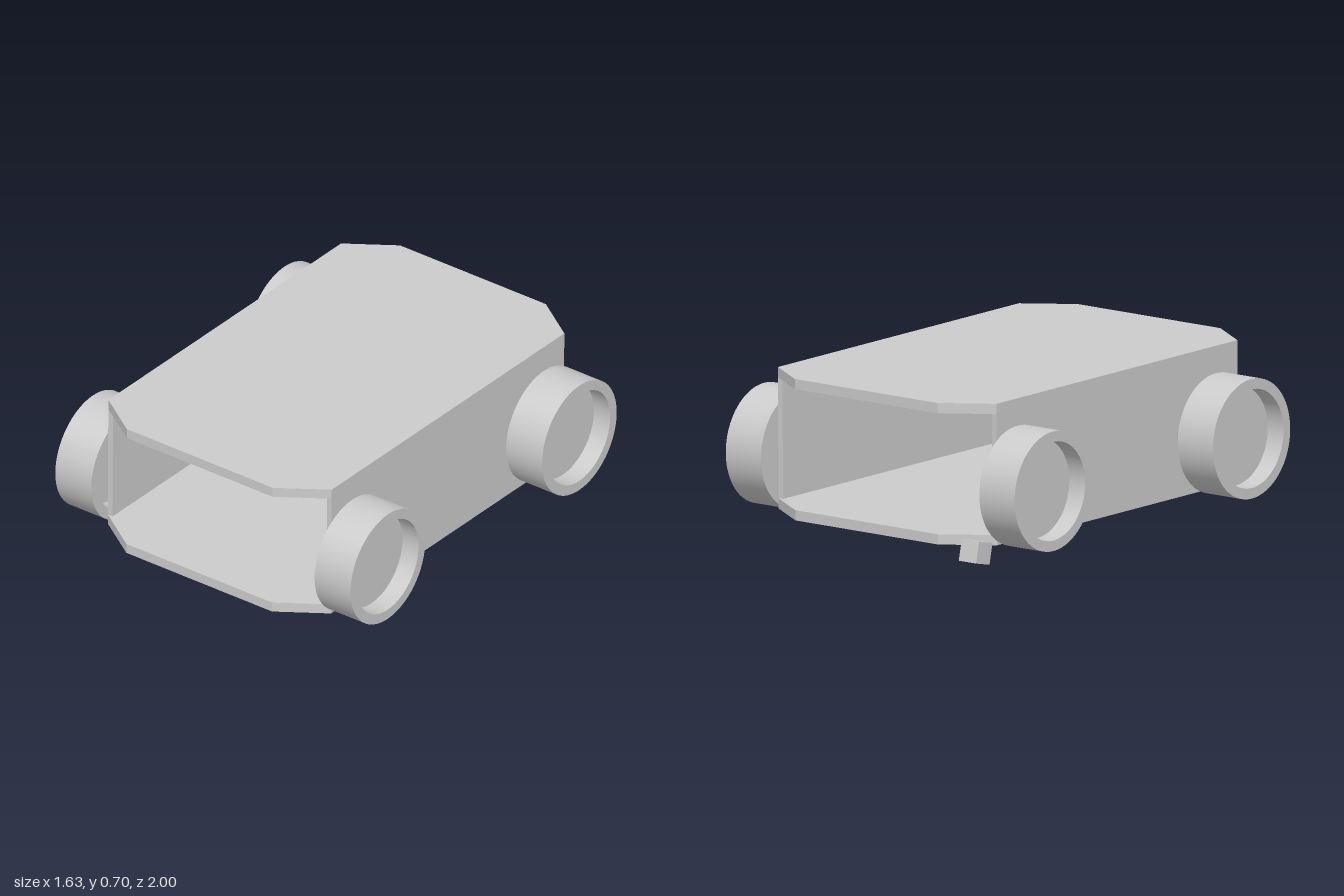
import * as THREE from 'three';
import { toCreasedNormals } from 'three/addons/utils/BufferGeometryUtils.js';

const material = new THREE.MeshStandardMaterial({ color: 0xcccccc });

function addMesh(parent, name, geometry, x, y, z) {
  const mesh = new THREE.Mesh(geometry, material);
  mesh.name = name;
  mesh.position.set(x, y, z);
  parent.add(mesh);
  return mesh;
}

// Flat octagonal plate with clipped corners, centred on its thickness
function plateGeometry(thickness) {
  const w = 0.605, wEnd = 0.395, l = 0.963, lSide = 0.82;
  const shape = new THREE.Shape([
    [w, -lSide], [w, lSide], [wEnd, l], [-wEnd, l],
    [-w, lSide], [-w, -lSide], [-wEnd, -l], [wEnd, -l],
  ].map(([x, y]) => new THREE.Vector2(x, y)));
  return new THREE.ExtrudeGeometry(shape, { depth: thickness, bevelEnabled: false })
    .translate(0, 0, -thickness / 2)
    .rotateX(-Math.PI / 2);
}

// Thick ring with a recessed web in the middle, axle along x
function wheelGeometry() {
  const outer = 0.263, inner = 0.217, half = 0.0975, web = 0.01;
  const profile = [
    [0, -web], [inner, -web], [inner, -half], [outer, -half],
    [outer, half], [inner, half], [inner, web], [0, web],
  ].map(([r, y]) => new THREE.Vector2(r, y));
  return toCreasedNormals(new THREE.LatheGeometry(profile, 64), 0.6)
    .rotateZ(-Math.PI / 2);
}

export function createModel() {
  const model = new THREE.Group();
  model.name = 'cart';

  // Chassis and wheels share a very slight yaw and pitch
  const chassis = new THREE.Group();
  chassis.name = 'chassis';
  chassis.position.set(0, 0.379, 0.024);
  chassis.rotation.set(-0.0065, -0.0145, 0);
  model.add(chassis);

  const thickness = 0.045, halfHeight = 0.311, wall = 0.025;
  const plate = plateGeometry(thickness);
  addMesh(chassis, 'topPlate', plate, 0, halfHeight - thickness / 2, 0);
  addMesh(chassis, 'bottomPlate', plate, 0, -halfHeight + thickness / 2, 0);

  const side = new THREE.BoxGeometry(wall, 2 * (halfHeight - thickness), 1.64);
  const wheel = wheelGeometry();
  for (const [sideName, sx] of [['left', 1], ['right', -1]]) {
    addMesh(chassis, sideName + 'Wall', side, sx * (0.605 - wall / 2), 0, 0);
    for (const [endName, sz] of [['Front', 1], ['Rear', -1]]) {
      addMesh(chassis, sideName + endName + 'Wheel', wheel, sx * 0.7025, -0.072, sz * 0.675);
    }
  }

  // Small tilted block below the rear right corner
  const block = addMesh(model, 'rearBlock', new THREE.BoxGeometry(0.095, 0.095, 0.095), -0.588, 0.057, -0.944);
  block.rotation.x = 0.22;

  return model;
}
